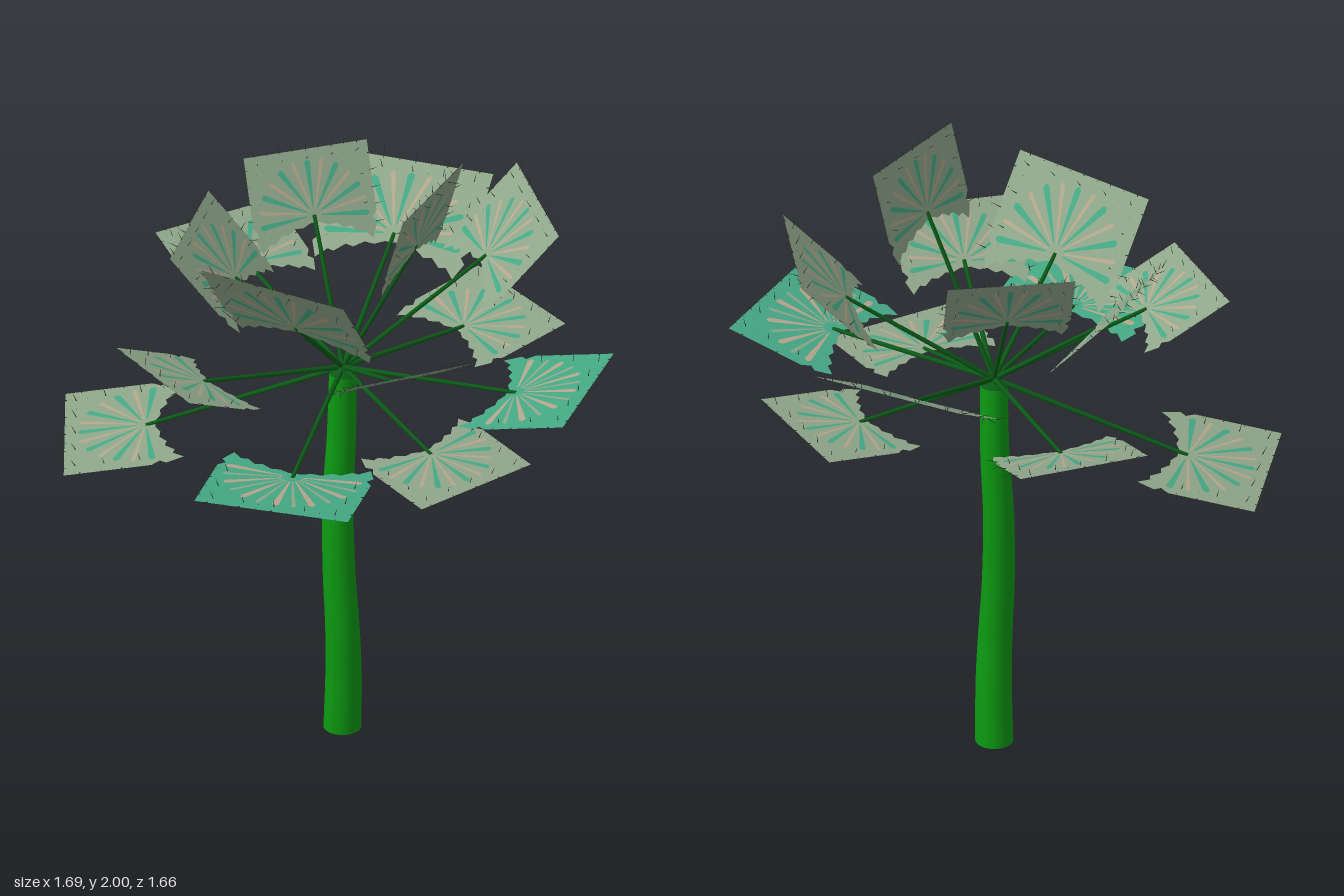
import * as THREE from 'three';
import { mergeGeometries } from 'three/addons/utils/BufferGeometryUtils.js';

const mat = (color, side = THREE.FrontSide) => new THREE.MeshStandardMaterial({ color, side });
const trunkMat = mat(0x0c9a12, THREE.DoubleSide);
const stemMat = mat(0x0b5a16);
const spikeMat = mat(0x2c3328);
const sage = mat(0x8fa68a, THREE.DoubleSide);
const teal = mat(0x45a885, THREE.DoubleSide);
const tan = mat(0xb5a68c, THREE.DoubleSide);

const HUB = new THREE.Vector3(0, 1.27, -0.06);
const UP = new THREE.Vector3(0, 1, 0);

// Stem tips [x, y, z] with leaf scale; the last value marks a teal leaf
const LEAVES = [
  [0.19, 1.215, 0.495, 1, 1],
  [-0.5, 1.06, 0.27, 1, 0],
  [-0.19, 1.39, 0.415, 0.82, 0],
  [-0.325, 1.53, 0.045, 0.87, 0],
  [-0.23, 1.64, -0.245, 0.81, 0],
  [-0.53, 1.33, -0.325, 0.85, 0],
  [-0.14, 1.455, -0.545, 1.02, 0],
  [0.146, 1.245, -0.5, 0.9, 0],
  [0.29, 1.59, -0.41, 0.94, 0],
  [0.54, 1.29, -0.2, 0.96, 1],
  [0.25, 1.77, -0.09, 0.83, 0],
  [0.41, 1.16, 0.067, 0.88, 0],
  [0.345, 1.45, 0.175, 0.81, 0],
  [0.03, 1.57, 0.245, 1.02, 0],
];

// Cylinder between two points
function rod(a, b, r0, r1, sides) {
  const d = b.clone().sub(a);
  const g = new THREE.CylinderGeometry(r1, r0, d.length(), sides);
  g.applyQuaternion(new THREE.Quaternion().setFromUnitVectors(UP, d.normalize()));
  const m = a.clone().add(b).multiplyScalar(0.5);
  return g.translate(m.x, m.y, m.z);
}

// Blade outline: straight outer edge, ragged sides, scalloped arch on the stem side
function bladeGeometry() {
  const half = [[0.242, 0.25], [0.242, -0.02], [0.222, -0.045], [0.238, -0.065], [0.215, -0.12],
    [0.185, -0.085], [0.165, -0.09], [0.135, -0.06], [0.11, -0.065], [0.08, -0.042], [0.05, -0.045], [0.02, -0.03]];
  const pts = [...half, ...half.map(([x, y]) => [-x, y]).reverse()];
  return new THREE.ShapeGeometry(new THREE.Shape(pts.map(([x, y]) => new THREE.Vector2(x, y))));
}

// Fan of widening rays, laid on both faces of the blade
function raysGeometry(parity) {
  const parts = [];
  for (let i = parity; i < 13; i += 2) {
    const a = THREE.MathUtils.degToRad(-6 + (192 * i) / 12);
    const len = Math.min(0.215, 0.21 / Math.max(0.01, Math.sin(a)));
    const w = parity ? 0.007 : 0.011;
    const ray = new THREE.Shape();
    ray.moveTo(0.03, -0.002);
    ray.lineTo(len - 0.01, -w);
    ray.quadraticCurveTo(len + 0.01, 0, len - 0.01, w);
    ray.lineTo(0.03, 0.002);
    for (const z of [-0.002, 0.002]) {
      parts.push(new THREE.ShapeGeometry(ray, 3).rotateZ(a).translate(0, 0, z));
    }
  }
  return mergeGeometries(parts);
}

// Fine spikes around the edge and standing on both faces
function spikesGeometry() {
  const parts = [];
  const spike = (x, y, z, dx, dy, dz) => {
    const a = new THREE.Vector3(x, y, z);
    const b = a.clone().add(new THREE.Vector3(dx, dy, dz));
    parts.push(rod(a, b, 0.0018, 0.0003, 3));
  };
  for (let i = -4; i <= 4; i++) {
    const s = i % 2 ? 1 : -1;
    spike(i * 0.05, 0.245, 0, i * 0.003, 0.034, s * 0.012);
    spike(i * 0.048, 0.215, 0, i * 0.002, 0.01, s * 0.028);
  }
  for (const side of [-1, 1]) {
    for (let i = 0; i < 5; i++) {
      const s = i % 2 ? 1 : -1;
      spike(side * 0.235, -0.06 + i * 0.065, 0, side * 0.034, 0.004, s * 0.012);
      spike(side * 0.2, -0.04 + i * 0.055, 0, side * 0.008, 0.004, -s * 0.026);
    }
  }
  return mergeGeometries(parts);
}

// Gently swaying tapered trunk, open at the foot
function trunkGeometry() {
  const path = new THREE.CatmullRomCurve3([
    [0, 0, -0.058], [0.008, 0.2, -0.052], [0.01, 0.36, -0.043], [-0.002, 0.56, -0.042],
    [-0.014, 0.8, -0.054], [-0.008, 1.02, -0.064], [0, 1.25, -0.06],
  ].map((p) => new THREE.Vector3(...p)));
  const g = new THREE.CylinderGeometry(0.042, 0.058, 1, 24, 32, true).translate(0, 0.5, 0);
  const pos = g.attributes.position;
  for (let i = 0; i < pos.count; i++) {
    const c = path.getPoint(pos.getY(i));
    pos.setXYZ(i, pos.getX(i) + c.x, c.y, pos.getZ(i) + c.z);
  }
  g.computeVertexNormals();
  return g;
}

export function createModel() {
  const model = new THREE.Group();
  const add = (parent, name, geometry, material) => {
    const mesh = new THREE.Mesh(geometry, material);
    mesh.name = name;
    parent.add(mesh);
    return mesh;
  };

  add(model, 'trunk', trunkGeometry(), trunkMat);
  add(model, 'crownCap', new THREE.CylinderGeometry(0.015, 0.042, 0.03, 24).translate(0, 1.265, -0.06), stemMat);

  const blade = bladeGeometry();
  const rays = [raysGeometry(0), raysGeometry(1)];
  const spikes = spikesGeometry();

  LEAVES.forEach(([x, y, z, scale, isTeal]) => {
    const tip = new THREE.Vector3(x, y, z);
    const d = tip.clone().sub(HUB);
    const flat = Math.hypot(d.x, d.z);
    add(model, 'stem', rod(HUB, tip, 0.008, 0.006, 8), stemMat);

    // Each blade rises a little more steeply than its stem
    const pitch = Math.atan2(d.y, flat) + 0.19;
    const out = new THREE.Vector3(d.x / flat, 0, d.z / flat);
    const across = UP.clone().cross(out);
    const along = out.multiplyScalar(Math.cos(pitch)).addScaledVector(UP, Math.sin(pitch));
    const normal = across.clone().cross(along);

    const leaf = new THREE.Group();
    leaf.name = 'leaf';
    leaf.quaternion.setFromRotationMatrix(new THREE.Matrix4().makeBasis(across, along, normal));
    leaf.position.copy(tip);
    leaf.scale.setScalar(scale);
    add(leaf, 'leafBlade', blade, isTeal ? teal : sage);
    add(leaf, 'leafRays', rays[0], isTeal ? tan : teal);
    add(leaf, 'leafFineRays', rays[1], isTeal ? sage : tan);
    add(leaf, 'leafSpikes', spikes, spikeMat);
    model.add(leaf);
  });
  return model;
}
